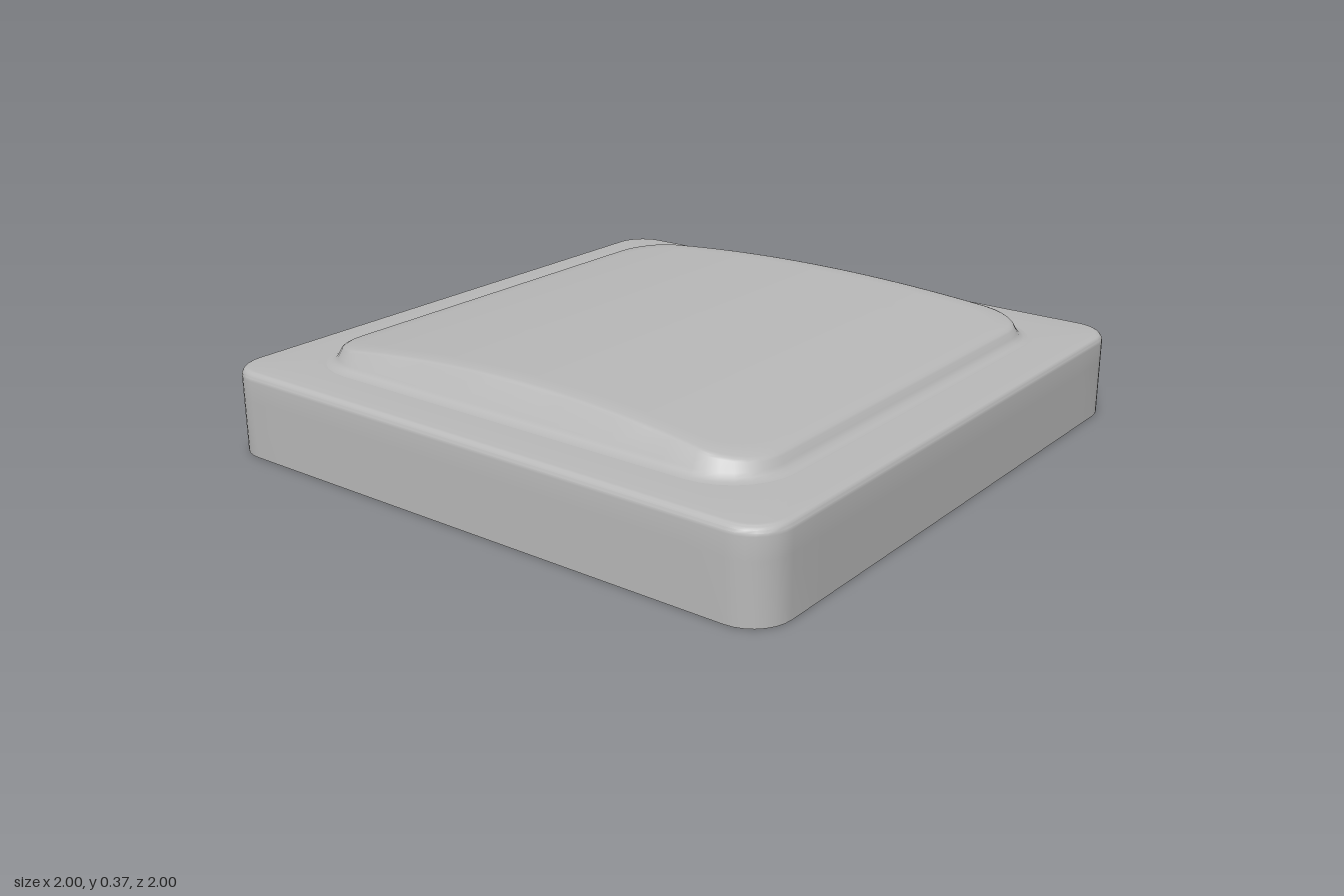
import * as THREE from 'three';
import { toCreasedNormals } from 'three/addons/utils/BufferGeometryUtils.js';

const CEILING = 0.18, SHOULDER = 0.27, ARC = 7, SIDE = 14;

// Rounded square as [x, z] points, running from +x towards +z
function roundedSquare(half, r) {
  const pts = [], core = half - r;
  for (let k = 0; k < 4; k++) {
    const cx = (k === 0 || k === 3 ? 1 : -1) * core, cz = (k < 2 ? 1 : -1) * core;
    for (let i = 0; i <= ARC; i++) {
      const a = (k + i / ARC) * Math.PI / 2;
      pts.push([cx + r * Math.cos(a), cz + r * Math.sin(a)]);
    }
    const [x, z] = pts[pts.length - 1];
    const dir = (k + 1) * Math.PI / 2 + Math.PI / 2;
    for (let i = 1; i < SIDE; i++) {
      const d = 2 * core * i / SIDE;
      pts.push([x + d * Math.cos(dir), z + d * Math.sin(dir)]);
    }
  }
  return pts;
}

// Skin stacked rings of equal point count
function loft(rings) {
  const n = rings[0].length, index = [];
  for (let i = 0; i < rings.length - 1; i++) {
    for (let j = 0; j < n; j++) {
      const a = i * n + j, b = i * n + (j + 1) % n;
      index.push(a, a + n, b, b, a + n, b + n);
    }
  }
  const geo = new THREE.BufferGeometry();
  geo.setAttribute('position', new THREE.Float32BufferAttribute(rings.flat(2), 3));
  geo.setIndex(index);
  return toCreasedNormals(geo, 0.6);
}

const crown = z => 0.37 - 0.055 * (z / 0.79) ** 2;
const flatRing = (half, r, y) => roundedSquare(half, r).map(([x, z]) => [x, y, z]);

export function createModel() {
  const group = new THREE.Group();
  const grey = new THREE.MeshStandardMaterial({ color: 0xb8b8b8 });
  const add = (name, geo) => {
    const mesh = new THREE.Mesh(geo, grey);
    mesh.name = name;
    group.add(mesh);
    return mesh;
  };

  // Upper shell with a softly rounded shoulder
  const shell = [flatRing(1, 0.12, CEILING)];
  for (let i = 0; i <= 5; i++) {
    const a = i / 5 * Math.PI / 2, inset = 0.025 * (1 - Math.cos(a));
    shell.push(flatRing(1 - inset, 0.12 - inset, SHOULDER - 0.025 + 0.025 * Math.sin(a)));
  }
  shell.push(flatRing(0.845, 0.205, SHOULDER));
  add('upperShell', loft(shell));

  // Raised pad: concave foot, sloped sides, top arched from front to back
  const pad = [flatRing(0.845, 0.205, SHOULDER)];
  const foot = [[0.272, 0.03], [0.278, 0.018], [0.288, 0.009]];
  for (const [y, o] of foot) pad.push(flatRing(0.8 + o, 0.16 + o, y));
  const base = roundedSquare(0.8, 0.16);
  const padRing = (drop, extra) => base.map(([x, z]) => {
    const y = crown(z) - drop, o = -0.55 * (y - 0.305) - extra;
    const cx = THREE.MathUtils.clamp(x, -0.64, 0.64), cz = THREE.MathUtils.clamp(z, -0.64, 0.64);
    const k = 1 + o / 0.16;
    return [cx + (x - cx) * k, y, cz + (z - cz) * k];
  });
  pad.push(padRing(0.008, 0), padRing(0.003, 0.003));
  const rim = padRing(0, 0.012);
  for (let i = 0; i <= 14; i++) {
    const s = 1 - i / 14;
    pad.push(rim.map(([x, , z]) => [x * s, crown(z * s), z * s]));
  }
  add('raisedPad', loft(pad));

  // Hollow skirt: the opening is one quarter outline mirrored four ways
  const quarter = [[0.87, 0.02], [0.845, 0.04], [0.845, 0.53], [0.82, 0.555], [0.74, 0.56],
    [0.71, 0.58], [0.71, 0.63], [0.77, 0.66], [0.77, 0.88]];
  const flip = (sx, sz) => quarter.map(([x, z]) => new THREE.Vector2(x * sx, z * sz));
  const opening = [...flip(1, 1), ...flip(-1, 1).reverse(), ...flip(-1, -1), ...flip(1, -1).reverse()];
  const outline = new THREE.Shape(roundedSquare(1, 0.12).map(([x, z]) => new THREE.Vector2(x, z)));
  outline.holes.push(new THREE.Path(opening));
  const skirt = new THREE.ExtrudeGeometry(outline, { depth: CEILING, bevelEnabled: false });
  skirt.rotateX(-Math.PI / 2);
  add('skirt', toCreasedNormals(skirt, 0.5));

  // Ceiling of the cavity, facing down
  const ceiling = new THREE.PlaneGeometry(1.8, 1.8);
  ceiling.rotateX(Math.PI / 2);
  add('cavityCeiling', ceiling).position.y = CEILING;

  // Curved rib hanging from the middle of the ceiling
  const ribShape = new THREE.Shape();
  ribShape.moveTo(-0.24, 0);
  ribShape.quadraticCurveTo(0, -0.14, 0.24, 0);
  ribShape.closePath();
  const rib = new THREE.ExtrudeGeometry(ribShape, { depth: 0.16, bevelEnabled: false, curveSegments: 16 });
  rib.translate(0, 0, -0.08);
  rib.rotateY(Math.PI / 2);
  add('centreRib', toCreasedNormals(rib, 0.5)).position.y = CEILING;

  return group;
}
